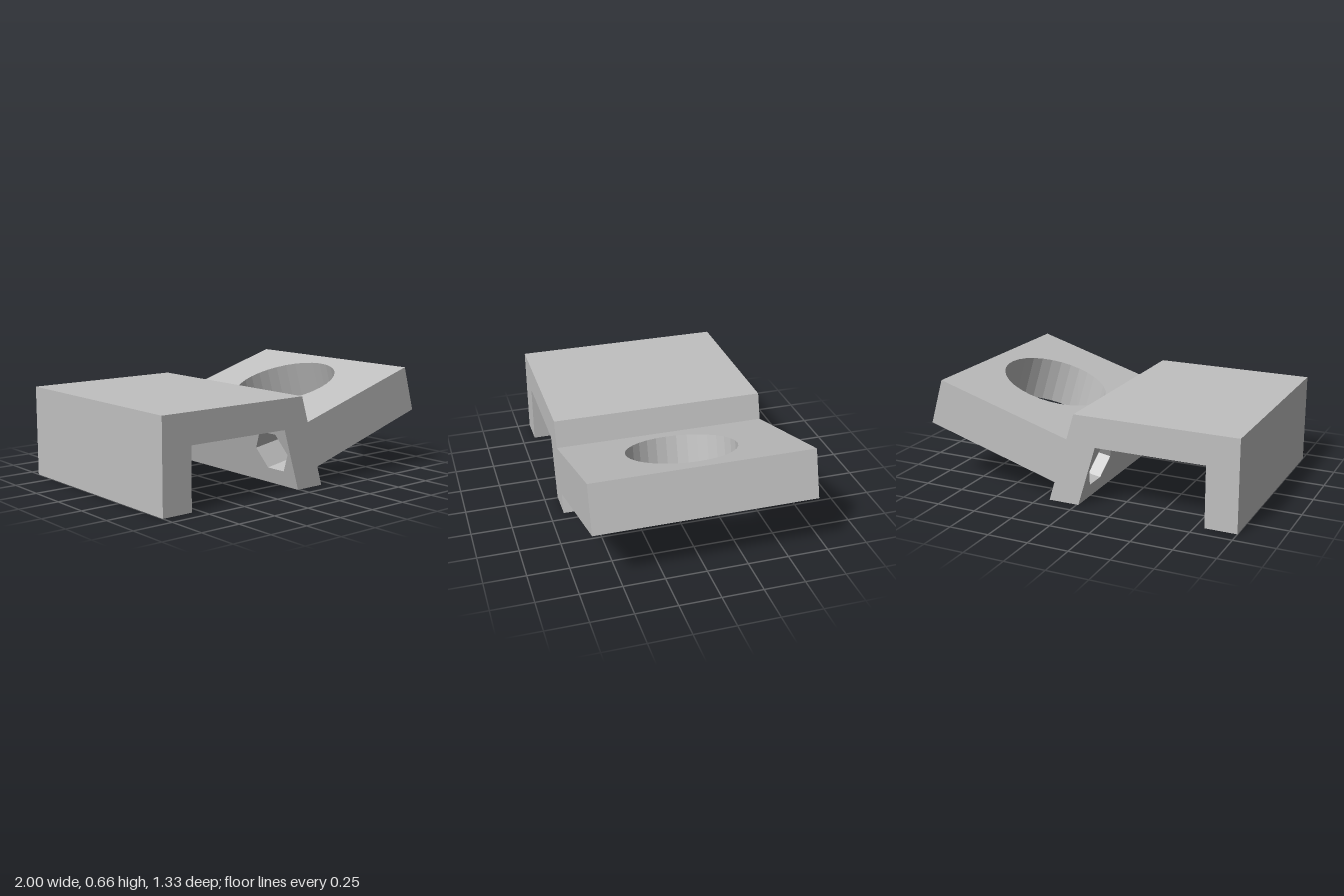
import * as THREE from 'three';

const DEPTH = 1.33;   // full width along z
const SLOPE = 0.3;    // tilt of the web and the plate
const TILT = Math.atan(SLOPE);

function polygon(points) {
  return new THREE.Shape(points.map(([x, y]) => new THREE.Vector2(x, y)));
}

function rectangle(x0, y0, x1, y1) {
  return polygon([[x0, y0], [x1, y0], [x1, y1], [x0, y1]]);
}

export function createModel() {
  const group = new THREE.Group();
  const grey = new THREE.MeshStandardMaterial({ color: 0xc0c0c0, flatShading: true });
  grey.name = 'grey';

  function add(name, geometry) {
    const mesh = new THREE.Mesh(geometry, grey);
    mesh.name = name;
    group.add(mesh);
    return mesh;
  }

  // Flat top with the straight leg at its outer end
  const top = new THREE.ExtrudeGeometry(polygon([
    [-1, 0], [-0.805, 0], [-0.805, 0.375], [0.0695, 0.375], [0.014, 0.56], [-1, 0.56],
  ]), { depth: DEPTH, bevelEnabled: false });
  top.translate(0, 0, -DEPTH / 2);
  add('topAndLeg', top);

  // Slanted web with a hexagonal nut pocket near each side
  const webThickness = 0.193, webHeight = 0.375;
  const webShape = rectangle(-DEPTH / 2, 0, DEPTH / 2, webHeight);
  for (const side of [-1, 1]) {
    const corners = [];
    for (let i = 0; i < 6; i++) {
      const a = -i * Math.PI / 3;
      corners.push(new THREE.Vector2(side * 0.5 + 0.14 * Math.cos(a), 0.215 + 0.134 * Math.sin(a)));
    }
    webShape.holes.push(new THREE.Path(corners));
  }
  const web = new THREE.ExtrudeGeometry(webShape, { depth: webThickness, bevelEnabled: false });
  web.rotateY(Math.PI / 2);
  const p = web.attributes.position;
  for (let i = 0; i < p.count; i++) {
    let x = p.getX(i), y = p.getY(i);
    // Pockets rise along the plate direction, then the whole web leans
    if (y > 0.001 && y < webHeight - 0.001) y += 0.03 * x / webThickness;
    p.setXYZ(i, x - 0.01 - SLOPE * y, y, p.getZ(i));
  }
  web.computeVertexNormals();
  add('web', web);

  // Tilted plate with a round bore square to its surface
  const length = 0.89, thickness = 0.294;
  const plateShape = rectangle(0, -DEPTH / 2, length, DEPTH / 2);
  const bore = new THREE.Path();
  bore.absarc(length / 2, 0, 0.335, 0, Math.PI * 2, true);
  plateShape.holes.push(bore);
  const plate = new THREE.ExtrudeGeometry(plateShape, {
    depth: thickness, bevelEnabled: false, curveSegments: 16,
  });
  plate.rotateX(-Math.PI / 2);
  plate.translate(0, -thickness, 0);
  const plateMesh = add('tiltedPlate', plate);
  plateMesh.rotation.z = TILT;
  plateMesh.position.set(0.062, 0.4, 0);

  return group;
}
